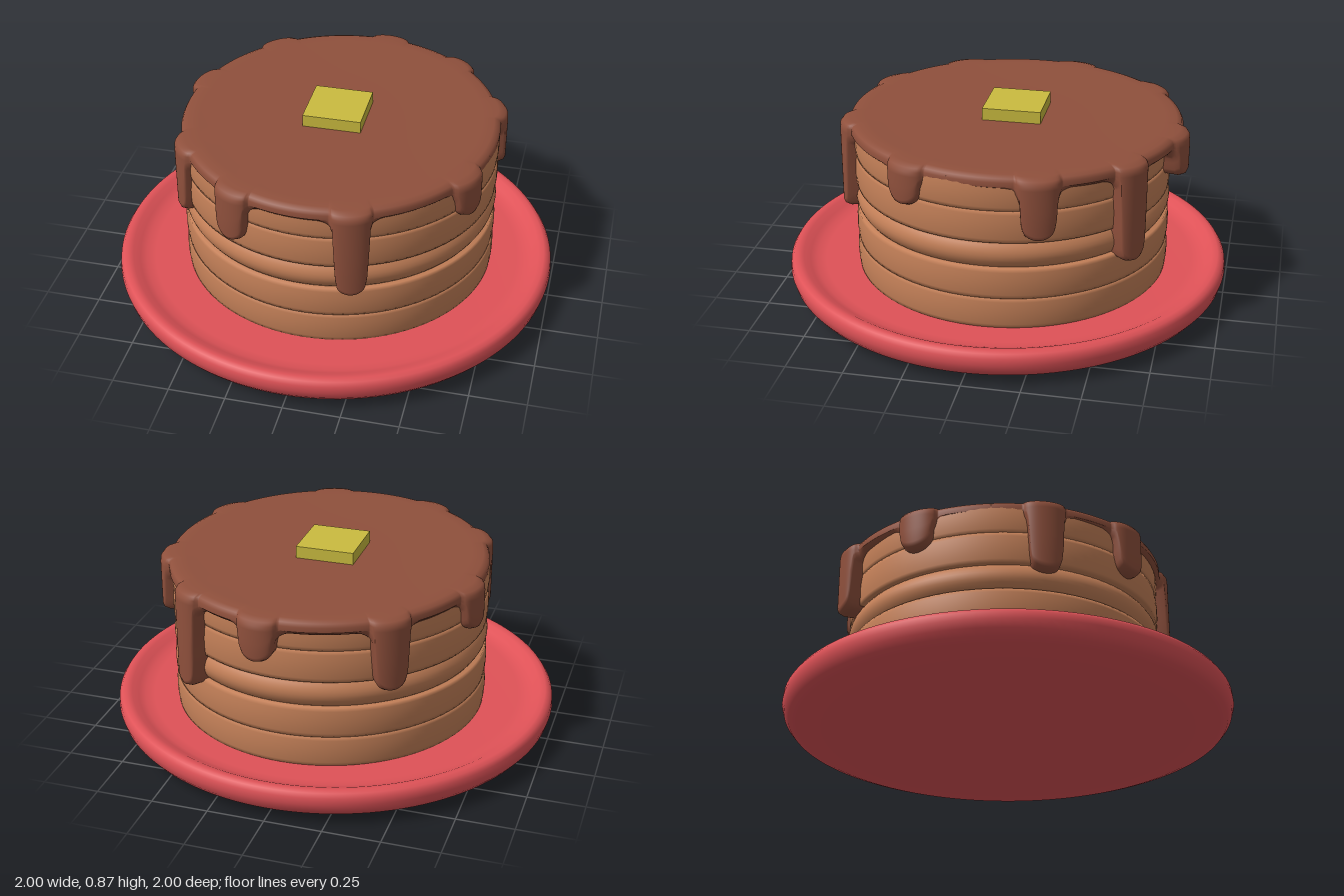
import * as THREE from 'three';

const material = (color, side = THREE.FrontSide) => new THREE.MeshStandardMaterial({ color, side });

function lathe(name, points, mat, segments = 96) {
  const profile = points.map(([r, y]) => new THREE.Vector2(r, y));
  const mesh = new THREE.Mesh(new THREE.LatheGeometry(profile, segments), mat);
  mesh.name = name;
  return mesh;
}

// Drips: [x, z, lowest y, half width]
const DRIPS = [
  [0.23, 0.71, 0.40, 0.075], [-0.32, 0.66, 0.57, 0.075], [-0.63, 0.35, 0.48, 0.075],
  [-0.69, -0.22, 0.62, 0.075], [-0.45, -0.65, 0.49, 0.075], [0.10, -0.82, 0.62, 0.075],
  [0.49, -0.65, 0.37, 0.07], [0.71, -0.27, 0.54, 0.075], [0.68, 0.33, 0.63, 0.075],
];
const SYRUP = { cx: 0.015, cz: -0.04, rx: 0.705, rz: 0.74, top: 0.82, hem: 0.755 };

// Lower edge and outward swelling of the syrup at one angle
function syrupEdge(angle) {
  let low = SYRUP.hem, bulge = 0;
  for (const [x, z, bottom, half] of DRIPS) {
    const center = Math.atan2((z - SYRUP.cz) / SYRUP.rz, (x - SYRUP.cx) / SYRUP.rx);
    const delta = Math.atan2(Math.sin(angle - center), Math.cos(angle - center));
    const u = Math.abs(delta) * 0.72 / half;
    if (u < 1) {
      // rounded tip, with the sides drawn up into the hem
      const tip = bottom + 0.07 * (1 - Math.sqrt(1 - u * u));
      const sides = Math.pow(u, 14) * Math.max(0, SYRUP.hem - 0.06 - bottom - 0.07);
      low = Math.min(low, tip + sides);
    } else if (u < 2) {
      low = Math.min(low, SYRUP.hem - 0.06 * (1 - Math.sqrt(1 - (2 - u) ** 2) < 0 ? 0 : 1 - Math.sqrt(1 - (2 - u) ** 2)));
    }
    if (u < 1.2) bulge = Math.max(bulge, 0.042 * Math.sqrt(1 - (u / 1.2) ** 2));
  }
  return { low, bulge };
}

function syrupGeometry(segments = 720) {
  const { cx, cz, rx, rz, top } = SYRUP;
  const positions = [], indices = [];
  let rows = 0;
  for (let i = 0; i < segments; i++) {
    const angle = (i / segments) * Math.PI * 2;
    const { low, bulge } = syrupEdge(angle);
    const upper = 0.775, lower = Math.min(low + 0.03, upper - 0.002);
    const mid = (upper + lower) / 2;
    // [radial offset from the rim, height], from the sheet over the rim to the underside
    const section = [
      [-0.45, top - 0.004], [-0.2, top - 0.003], [-0.08, top], [-0.03 + bulge * 0.6, top],
      [-0.008 + bulge * 0.85, top - 0.01], [bulge * 0.95, top - 0.025], [bulge, upper],
      [bulge, mid], [bulge, lower], [bulge - 0.007, low + 0.012],
      [bulge * 0.7 - 0.02, low], [-0.06, low], [-0.1, low + 0.005],
    ];
    rows = section.length + 1;
    positions.push(cx, top - 0.004, cz);
    for (const [offset, y] of section) {
      positions.push(cx + Math.cos(angle) * (rx + offset), y, cz + Math.sin(angle) * (rz + offset));
    }
  }
  for (let i = 0; i < segments; i++) {
    const a = i * rows, b = ((i + 1) % segments) * rows;
    for (let j = 0; j < rows - 1; j++) {
      if (j > 0) indices.push(a + j, b + j, a + j + 1);
      indices.push(b + j, b + j + 1, a + j + 1);
    }
  }
  const geometry = new THREE.BufferGeometry();
  geometry.setAttribute('position', new THREE.Float32BufferAttribute(positions, 3));
  geometry.setIndex(indices);
  geometry.computeVertexNormals();
  return geometry;
}

export function createModel() {
  const model = new THREE.Group();
  model.name = 'pancakeStack';

  // Shallow plate with a rounded rim
  model.add(lathe('plate', [
    [0, 0], [0.5, 0.004], [0.8, 0.015], [0.93, 0.03], [0.97, 0.045], [0.99, 0.07],
    [1, 0.105], [0.997, 0.135], [0.985, 0.153], [0.965, 0.16], [0.94, 0.155],
    [0.91, 0.138], [0.88, 0.126], [0.84, 0.122], [0.5, 0.12], [0, 0.12],
  ], material(0xdf5257), 128));

  // Five pancakes; the middle one has a rounder edge
  const pancakes = new THREE.Group();
  pancakes.name = 'pancakes';
  pancakes.position.set(0.015, 0, -0.025);
  const batter = material(0xc48058);
  const levels = [0.12, 0.26, 0.4, 0.52, 0.665, 0.8];
  for (let i = 0; i < 5; i++) {
    const y0 = levels[i], y1 = levels[i + 1], h = y1 - y0;
    const inset = i === 2 ? 0.026 : 0.006;
    const edge = [];
    for (let k = 0; k <= 8; k++) {
      const t = k / 4 - 1;
      edge.push([0.707 - inset * t * t, y0 + (h * k) / 8]);
    }
    pancakes.add(lathe(`pancake${i + 1}`, [[0, y0], [0.66, y0], ...edge, [0.66, y1], [0, y1]], batter));
  }
  model.add(pancakes);

  // Syrup sheet with drips running down the stack
  const syrup = new THREE.Mesh(syrupGeometry(), material(0x8f503c, THREE.DoubleSide));
  syrup.name = 'syrup';
  model.add(syrup);

  // Butter pat
  const butter = new THREE.Mesh(new THREE.BoxGeometry(0.26, 0.06, 0.26), material(0xcabb3f));
  butter.name = 'butter';
  butter.position.set(0, 0.84, -0.04);
  model.add(butter);

  return model;
}
